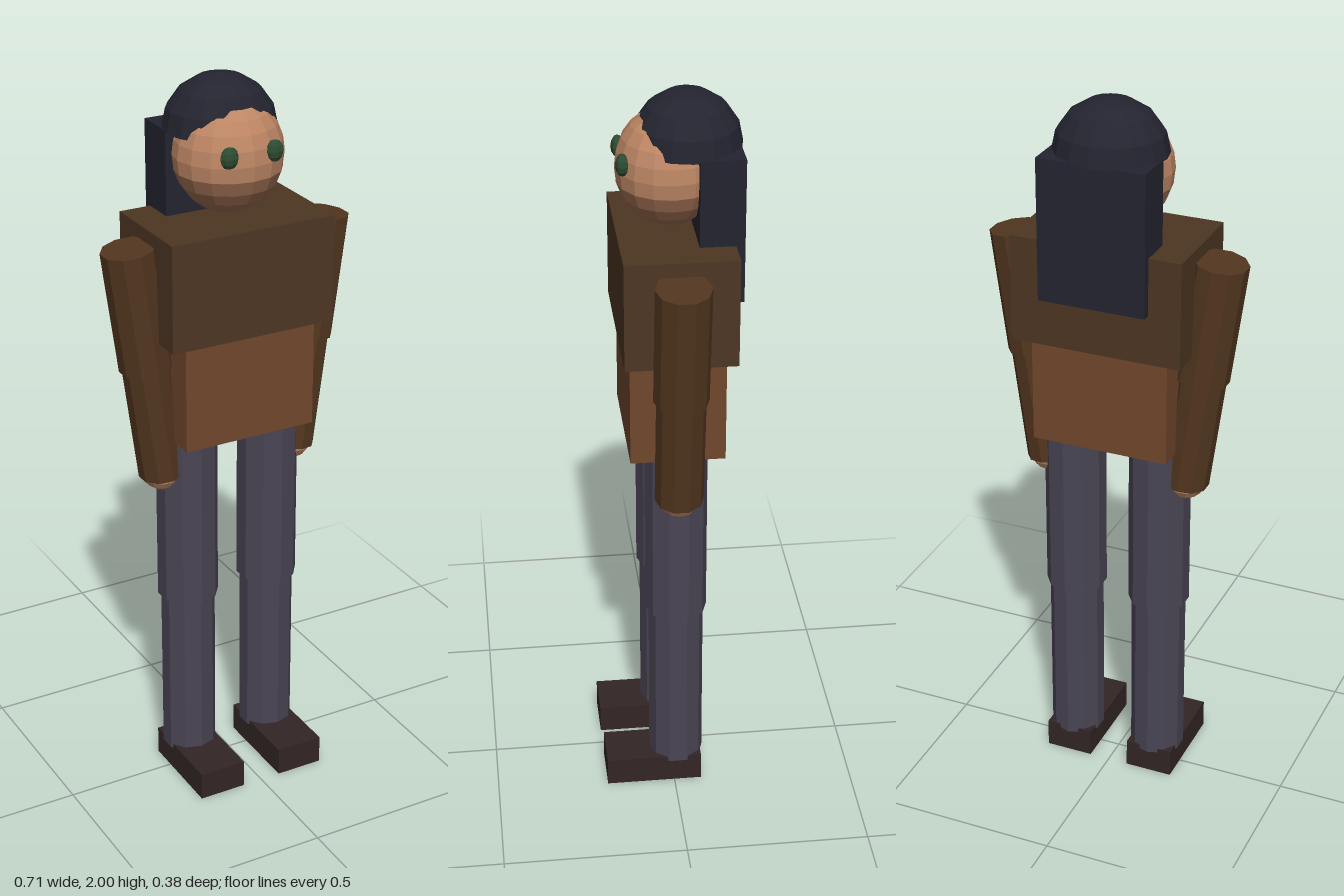
import * as THREE from 'three';

const paint = (name, color, side = THREE.FrontSide) => {
  const m = new THREE.MeshStandardMaterial({ color, flatShading: true, side });
  m.name = name;
  return m;
};

export function createModel() {
  const root = new THREE.Group();
  root.name = 'standingFigure';

  const skin = paint('skin', 0xbd8664);
  const stubble = paint('stubble', 0x9c6c51, THREE.DoubleSide);
  const hair = paint('hair', 0x23242f, THREE.DoubleSide);
  const eyeGreen = paint('eyeGreen', 0x2d4c31);
  const jacket = paint('jacket', 0x4d3623);
  const sleeve = paint('sleeve', 0x52361f);
  const shirt = paint('shirt', 0x70472c);
  const trousers = paint('trousers', 0x494554);
  const leather = paint('leather', 0x332526);

  const add = (name, geometry, material, x, y, z) => {
    const mesh = new THREE.Mesh(geometry, material);
    mesh.name = name;
    mesh.position.set(x, y, z);
    root.add(mesh);
    return mesh;
  };
  const box = (name, mat, w, y0, y1, z0, z1, x = 0) =>
    add(name, new THREE.BoxGeometry(w, y1 - y0, z1 - z0), mat, x, (y0 + y1) / 2, (z0 + z1) / 2);
  // Ten-sided limb segment between two points in the plane z = zMid
  const zMid = -0.01;
  const limb = (name, mat, r, x0, y0, x1, y1) => {
    const dx = x1 - x0, dy = y1 - y0;
    const geo = new THREE.CylinderGeometry(r, r, Math.hypot(dx, dy), 10);
    const mesh = add(name, geo, mat, (x0 + x1) / 2, (y0 + y1) / 2, zMid);
    mesh.rotation.z = -Math.atan2(dx, dy);
  };

  // Torso
  box('chest', jacket, 0.47, 1.344, 1.636, -0.158, 0.134);
  box('waist', shirt, 0.38, 1.05, 1.344, -0.133, 0.117);

  // Head with a stubbled jaw
  const head = add('head', new THREE.SphereGeometry(1, 16, 12), skin, 0, 1.803, -0.004);
  head.scale.set(0.146, 0.153, 0.138);
  const jaw = add('stubbleJaw', new THREE.SphereGeometry(1.008, 16, 5, 0, Math.PI * 2,
    Math.PI * 7 / 12, Math.PI * 5 / 12), stubble, 0, 1.803, -0.004);
  jaw.scale.copy(head.scale);

  // Hair: cap dome and straight back panel
  const dome = add('hairCap', new THREE.SphereGeometry(1, 16, 4, 0, Math.PI * 2, 0, Math.PI / 2),
    hair, 0, 1.86, -0.05);
  dome.scale.set(0.151, 0.14, 0.142);
  box('hairBack', hair, 0.294, 1.48, 1.865, -0.181, -0.066);

  for (const s of [-1, 1]) {
    const side = s > 0 ? 'left' : 'right';

    const eye = add(side + 'Eye', new THREE.SphereGeometry(1, 8, 6), eyeGreen, s * 0.064, 1.832, 0.119);
    eye.scale.set(0.026, 0.029, 0.018);

    // Arms lean inward toward the hands
    limb(side + 'UpperArm', sleeve, 0.0725, s * 0.24, 1.257, s * 0.286, 1.592);
    limb(side + 'Forearm', sleeve, 0.065, s * 0.197, 0.94, s * 0.24, 1.259);
    add(side + 'Hand', new THREE.SphereGeometry(0.056, 10, 8), skin, s * 0.2, 0.949, zMid);

    // Legs and shoes
    limb(side + 'Thigh', trousers, 0.084, s * 0.124, 0.555, s * 0.124, 1.06);
    limb(side + 'Shin', trousers, 0.075, s * 0.124, 0.068, s * 0.124, 0.556);
    box(side + 'Shoe', leather, 0.134, 0, 0.08, -0.076, 0.19, s * 0.124);
  }
  return root;
}
